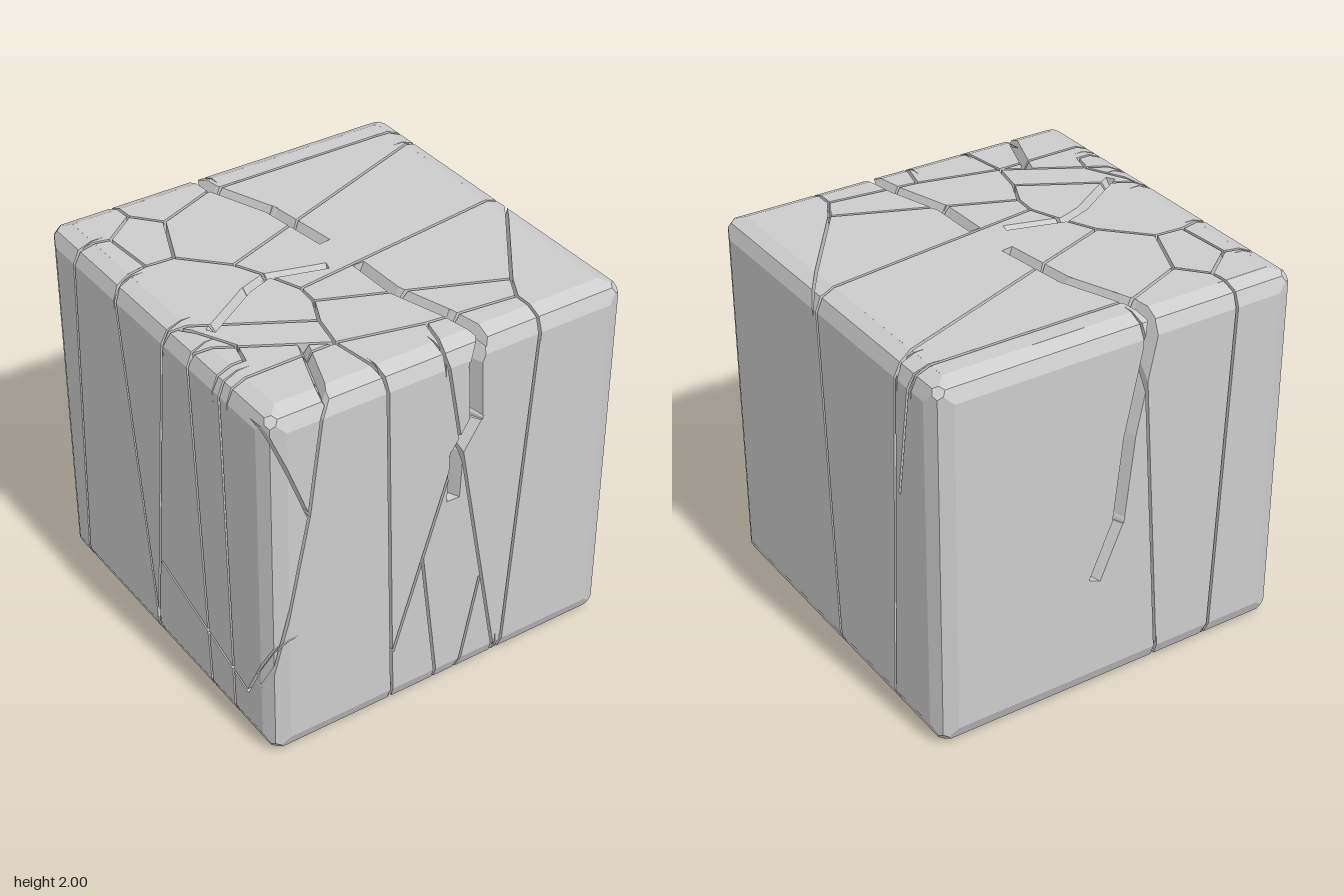
import * as THREE from 'three';

const EPS = 1e-6;

// Part of a convex polygon behind a plane, or null
function clip(poly, plane) {
  const d = poly.map((p) => plane.distanceToPoint(p));
  if (d.every((v) => v <= EPS)) return poly;
  if (d.every((v) => v >= -EPS)) return null;
  const out = [];
  poly.forEach((p, i) => {
    const j = (i + 1) % poly.length;
    if (d[i] <= 0) out.push(p);
    if (d[i] * d[j] < 0) out.push(p.clone().lerp(poly[j], d[i] / (d[i] - d[j])));
  });
  return out.length > 2 ? out : null;
}

const clipAll = (poly, planes) => planes.reduce((p, pl) => p && clip(p, pl), poly);

// Pieces of the polygons lying outside a convex solid
function subtract(polys, planes) {
  return polys.flatMap((poly) => {
    const out = [];
    let rest = poly;
    for (const pl of planes) {
      const outside = clip(rest, pl.clone().negate());
      if (outside) out.push(outside);
      rest = outside === rest ? null : clip(rest, pl);
      if (!rest) return [poly];
    }
    return out;
  });
}

// Large square on a plane, facing along its normal
function planeQuad(pl) {
  const size = 12;
  const g = new THREE.PlaneGeometry(size, size);
  g.lookAt(pl.normal);
  const c = pl.coplanarPoint(new THREE.Vector3());
  g.translate(c.x, c.y, c.z);
  const corner = (i) => new THREE.Vector3().fromBufferAttribute(g.attributes.position, i);
  return [corner(0), corner(2), corner(3), corner(1)];
}

// Planes of a cube with two-step bevelled edges and cut corners
function blockPlanes() {
  const reach = { '0,0,1': 1, '0,0.414,1': 1.2683, '1,1,1': 1.658 };
  const steps = [-1, -0.414, 0, 0.414, 1];
  const planes = [];
  for (const x of steps) for (const y of steps) for (const z of steps) {
    const d = reach[[x, y, z].map(Math.abs).sort((a, b) => a - b).join()];
    if (!d) continue;
    const n = new THREE.Vector3(x, y, z).normalize();
    planes.push(new THREE.Plane(n, -d - n.y));
  }
  return planes;
}

// Each side maps its two grid coordinates to a point, with an outward normal
const V = (x, y, z) => new THREE.Vector3(x, y, z);
const SIDES = {
  front: [(x, y) => V(x, y, 1), V(0, 0, 1)],
  back: [(x, y) => V(x, y, -1), V(0, 0, -1)],
  right: [(z, y) => V(1, y, z), V(1, 0, 0)],
  left: [(z, y) => V(-1, y, z), V(-1, 0, 0)],
  top: [(x, z) => V(x, 2, z), V(0, 1, 0)],
  bottom: [(x, z) => V(x, 0, z), V(0, -1, 0)],
};

// V-shaped wedge below a segment on one side of the block
function wedge(a, b, n, width, depth) {
  const plane = (normal, p) => new THREE.Plane().setFromNormalAndCoplanarPoint(normal, p);
  const dir = b.clone().sub(a).normalize();
  const across = dir.clone().cross(n);
  const floor = a.clone().addScaledVector(n, -depth);
  const wall = (s) => plane(
    across.clone().multiplyScalar(s * depth).addScaledVector(n, -width / 2).normalize(), floor);
  return [
    wall(1), wall(-1),
    plane(dir, b.clone().addScaledVector(dir, width * 0.3)),
    plane(dir.clone().negate(), a.clone().addScaledVector(dir, -width * 0.3)),
  ];
}

function polyMesh(polys, name, material) {
  const points = polys.flatMap((p) => p.slice(2).flatMap((q, i) => [p[0], p[i + 1], q]));
  const g = new THREE.BufferGeometry().setFromPoints(points);
  g.computeVertexNormals();
  const mesh = new THREE.Mesh(g, material);
  mesh.name = name;
  return mesh;
}

export function createModel() {
  const wedges = [];
  const crack = (side, width, depth, ...p) => {
    const [at, n] = SIDES[side];
    for (let i = 0; i + 3 < p.length; i += 2) {
      wedges.push(wedge(at(p[i], p[i + 1]), at(p[i + 2], p[i + 3]), n, width, depth));
    }
  };
  const hairline = (side, ...p) => crack(side, 0.015, 0.16, ...p);

  // Broad chipped cracks
  crack('front', 0.075, 0.08, 0.18, 2.02, 0.12, 1.87, 0.135, 1.56, 0.03, 1.4, 0.02, 1.16);
  crack('back', 0.07, 0.07, -0.18, 2.02, -0.05, 1.4, 0, 0.95, 0.12, 0.67);
  crack('top', 0.065, 0.07, 0.19, 1.02, 0.14, 0.75, 0.05, 0.45, 0.045, 0.19);
  crack('top', 0.065, 0.07, -0.18, -1.02, -0.16, -0.82, -0.03, -0.48, 0.02, -0.1);
  crack('top', 0.05, 0.05, -0.1, 0.1, -0.38, 0.02, -0.52, 0.07, -0.82, 0.26);
  crack('top', 0.05, 0.05, -0.55, 0.6, -0.7, 1);

  // Hairlines over the back of the top
  hairline('top', -1, -0.71, -0.82, -0.67, -0.64, -0.81, -0.65, -1);
  hairline('top', -0.64, -0.81, -0.52, -0.67, -0.2, -0.8, 1, -0.8);
  hairline('top', -0.82, -0.67, -0.8, -0.37, -0.65, -0.36, -0.52, -0.67);
  hairline('top', -1, -0.33, -0.8, -0.37);
  hairline('top', -0.65, -0.36, -0.45, -0.15, 1, -0.68);

  // Hairlines over the front of the top
  hairline('top', -0.45, -0.15, -0.37, 0.02, -0.3, 0.2, 1, 0.03);
  hairline('top', -0.3, 0.2, -0.31, 0.32, 0.56, 0.68, 1, 0.07);
  hairline('top', 0.56, 0.68, 0.49, 0.81, 0.49, 1);
  hairline('top', 0.49, 0.81, 0.01, 0.76, -0.42, 0.66, -0.37, 1);
  hairline('top', 0.01, 0.76, -0.05, 1);
  hairline('top', -0.31, 0.32, -0.38, 0.47, -0.42, 0.66);

  // Shattered corner of the top
  hairline('top', -1, 0.12, -0.38, 0.47);
  for (const z of [0.33, 0.67]) hairline('top', -1, z, -0.42, 0.66);
  hairline('top', -1, 0.55, -0.83, 0.55, -0.8, 0.43, -0.93, 0.17);

  // Full-height hairlines as [top, foot]; each runs on underneath to the nearest hub
  const hubs = [[0.83, -0.5], [-0.32, -0.5], [-0.42, -0.18], [-0.13, 0.13], [0.76, 0.13], [0.27, 0.78], [-0.14, 0.48]];
  const upright = {
    front: [[-0.37, -0.31], [-0.05, 0.32], [0.49, 0.35]],
    back: [[-0.65, -0.58], [-0.11, -0.26]],
    right: [[0.04, -0.06], [-0.67, -0.58]],
    left: [[-0.71, -0.8], [-0.33, -0.05], [0.12, -0.08], [0.33, 0.45], [0.6, 0.66]],
  };
  for (const side in upright) {
    for (const [top, foot] of upright[side]) {
      hairline(side, top, 2, foot, 0);
      const { x, z } = SIDES[side][0](foot, 0);
      const gap = ([hx, hz]) => Math.hypot(hx - x, hz - z);
      const near = hubs.reduce((a, b) => (gap(b) < gap(a) ? b : a));
      hairline('bottom', x, z, ...near);
    }
  }
  hairline('bottom', ...hubs.flat());

  // Branches on the upright sides
  hairline('front', -1, 0.4, -0.79, 1.39, -0.72, 1.9, -0.65, 2);
  hairline('front', -1, 1.95, -0.79, 1.39);
  hairline('front', 0.03, 1.42, -0.31, 0.35);
  hairline('front', -0.15, 0.85, -0.04, 0);
  hairline('front', 0.2, 0.58, 0.08, 0);
  hairline('right', -0.79, 2, -0.68, 1.3);
  hairline('left', 0, 0.54, 0.78, 0.28, 1, 0.72);

  // Outer skin of the block with every crack cut out
  const planes = blockPlanes();
  const faces = planes.map((pl) => clipAll(planeQuad(pl), planes.filter((q) => q !== pl))).filter(Boolean);
  const skin = wedges.reduce(subtract, faces);

  // Crack walls, kept only inside the block and outside the other cracks
  const walls = wedges.flatMap((w) => {
    const inside = w
      .map((pl) => clipAll(planeQuad(pl), [...w.filter((q) => q !== pl), ...planes]))
      .filter(Boolean)
      .map((p) => p.slice().reverse());
    return wedges.filter((o) => o !== w).reduce(subtract, inside);
  });

  const material = new THREE.MeshStandardMaterial({ color: 0xcccccc, flatShading: true });
  const group = new THREE.Group();
  group.name = 'crackedBlock';
  group.add(polyMesh(skin, 'blockSurface', material), polyMesh(walls, 'crackWalls', material));
  return group;
}
